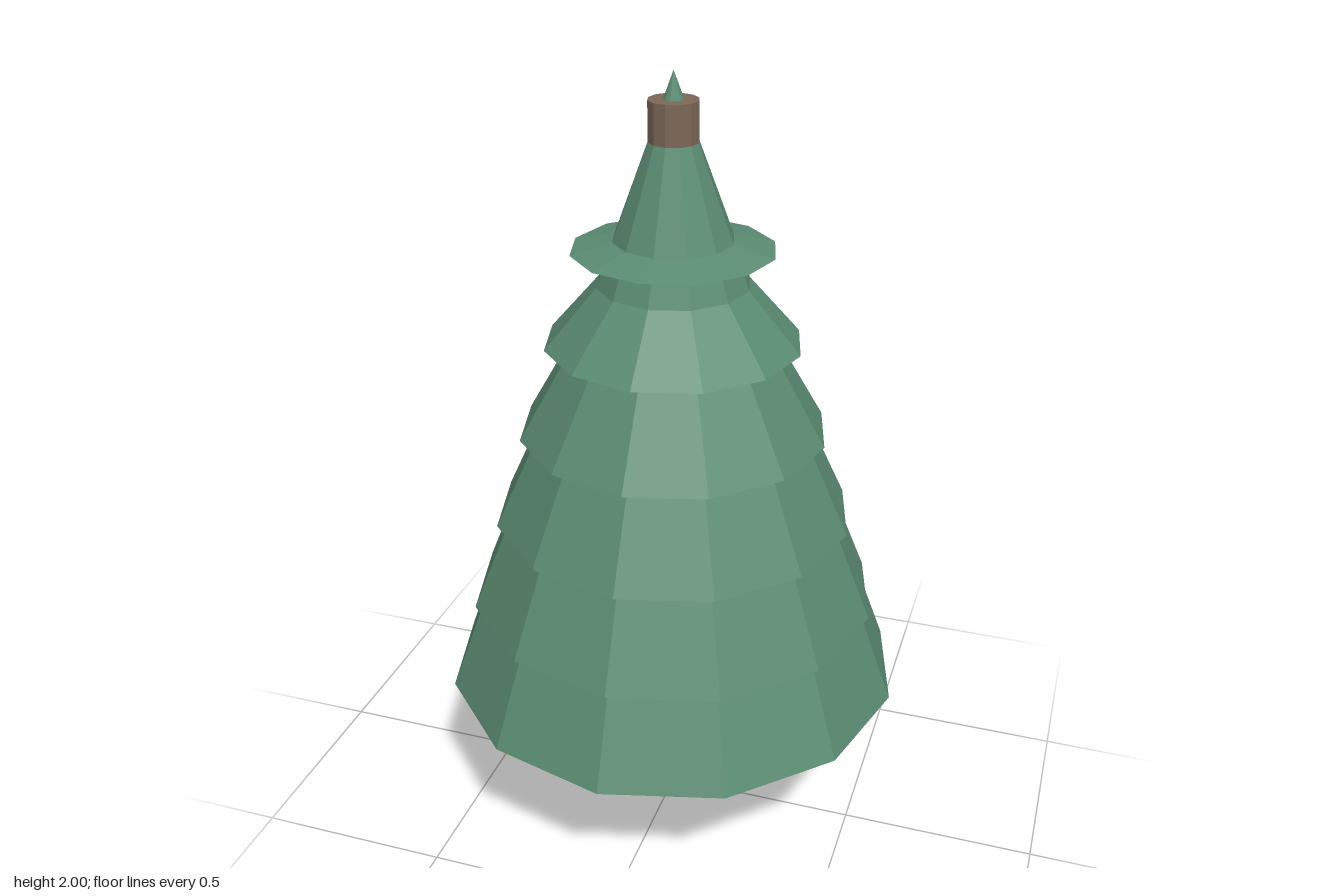
import * as THREE from 'three';

export function createModel() {
  const tree = new THREE.Group();
  tree.name = 'pineTree';

  const needles = new THREE.MeshStandardMaterial({ color: 0x5b8c73, flatShading: true, side: THREE.DoubleSide });
  needles.name = 'needleGreen';
  const bark = new THREE.MeshStandardMaterial({ color: 0x7d6858, flatShading: true });
  bark.name = 'barkBrown';

  // Trunk, running up through the branches
  const trunkHeight = 1.935;
  const trunk = new THREE.Mesh(new THREE.CylinderGeometry(0.06, 0.06, trunkHeight, 12), bark);
  trunk.name = 'trunk';
  trunk.position.y = trunkHeight / 2;
  tree.add(trunk);

  // Nested open cones: each tier is narrower and much flatter than the one below;
  // the tip of the lowest cone forms the spike above the trunk
  const tiers = 6;
  for (let i = 0; i < tiers; i++) {
    const t = i / (tiers - 1);
    const radius = THREE.MathUtils.lerp(0.591, 0.247, t);
    const base = THREE.MathUtils.lerp(0.422, 1.585, t);
    const height = THREE.MathUtils.lerp(1.578, 0.06, t);
    const tier = new THREE.Mesh(new THREE.ConeGeometry(radius, height, 12, 1, true), needles);
    tier.name = `branchTier${i + 1}`;
    tier.position.y = base + height / 2;
    tree.add(tier);
  }
  return tree;
}
